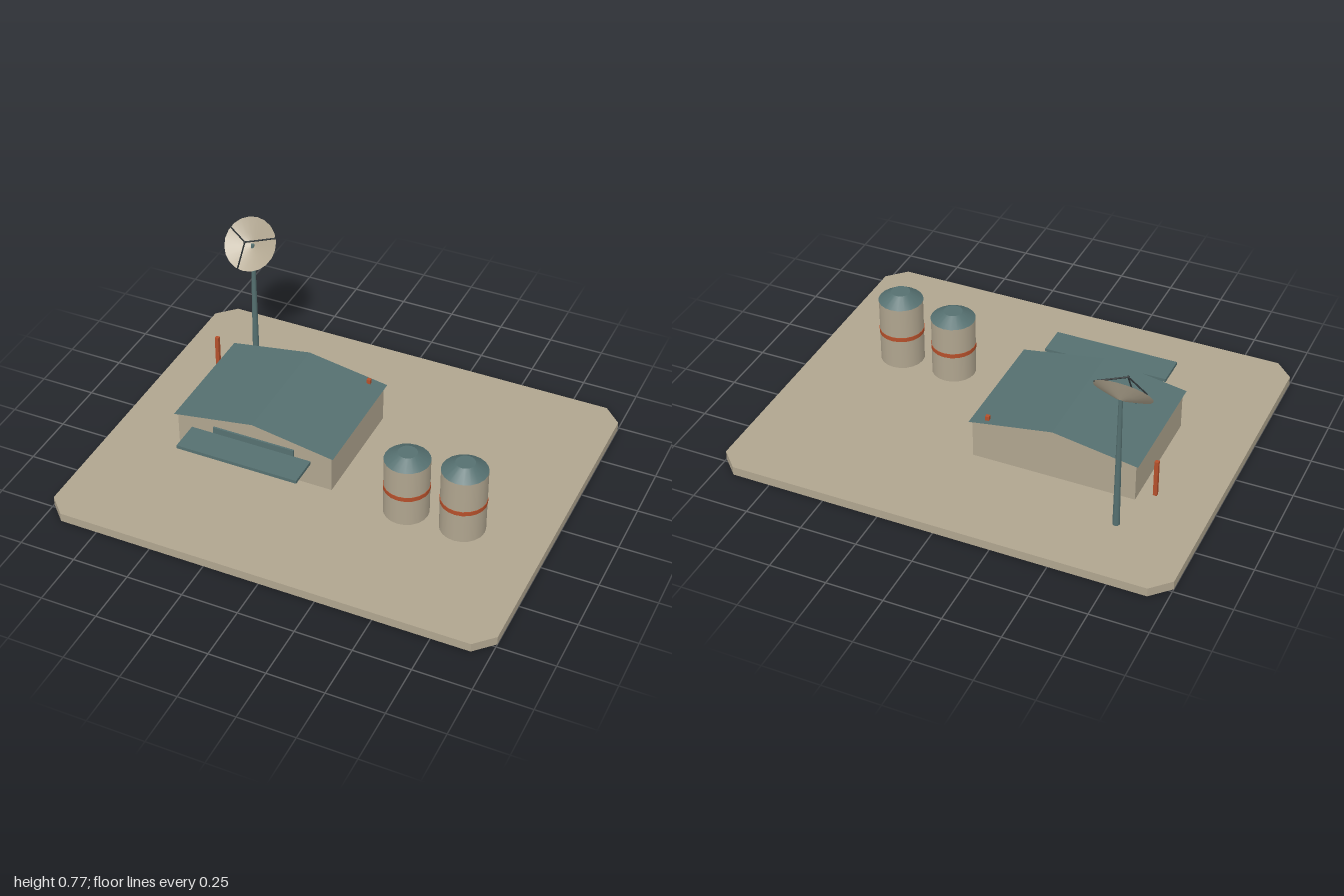
import * as THREE from 'three';

const paint = (name, color, side = THREE.FrontSide) => {
  const m = new THREE.MeshStandardMaterial({ color, side });
  m.name = name;
  return m;
};

export function createModel() {
  const sand = paint('sand', 0xb0a58f);
  const dishSand = paint('dish sand', 0xb2a791, THREE.DoubleSide);
  const teal = paint('teal', 0x557070);
  const orange = paint('rust orange', 0xb5502b);
  const dark = paint('dark metal', 0x2a3032);

  const model = new THREE.Group();
  model.name = 'outpost';

  const add = (name, geometry, material, x = 0, y = 0, z = 0, parent = model) => {
    const mesh = new THREE.Mesh(geometry, material);
    mesh.name = name;
    mesh.position.set(x, y, z);
    parent.add(mesh);
    return mesh;
  };
  // Box given by its min and max corners
  const box = (name, material, x0, x1, y0, y1, z0, z1) =>
    add(name, new THREE.BoxGeometry(x1 - x0, y1 - y0, z1 - z0), material,
      (x0 + x1) / 2, (y0 + y1) / 2, (z0 + z1) / 2);
  const polygon = (points) => new THREE.Shape(points.map(([x, y]) => new THREE.Vector2(x, y)));

  // Ground slab with cut corners
  const W = 1, D = 0.815, C = 0.08;
  const slab = new THREE.ExtrudeGeometry(polygon([
    [-W + C, -D], [W - C, -D], [W, -D + C], [W, D - C],
    [W - C, D], [-W + C, D], [-W, D - C], [-W, -D + C],
  ]), { depth: 0.04, bevelEnabled: false });
  slab.rotateX(-Math.PI / 2);
  add('ground slab', slab, sand);

  // Building with a low gabled roof: sand gables, teal slopes
  box('building walls', sand, -0.682, 0.044, 0.04, 0.219, -0.334, 0.206);
  const roof = new THREE.ExtrudeGeometry(
    polygon([[-0.375, 0], [0.375, 0], [0, 0.062]]),
    { depth: 0.567, bevelEnabled: false });
  add('gabled roof', roof, [sand, teal], -0.319, 0.218, -0.347);
  box('front door', teal, -0.51, -0.13, 0.06, 0.2, 0.206, 0.215);
  box('awning', teal, -0.583, -0.025, 0.202, 0.217, 0.265, 0.404);

  // Marker posts
  for (const x of [-0.762, -0.017]) {
    add('marker post', new THREE.BoxGeometry(0.017, 0.17, 0.017), orange, x, 0.165, -0.315);
  }

  // Storage tanks
  for (const [x, top, bandY, peak] of [[0.38, 0.315, 0.177, 0.35], [0.633, 0.344, 0.191, 0.384]]) {
    const tank = new THREE.Group();
    tank.name = 'storage tank';
    tank.position.set(x, 0, 0.19);
    model.add(tank);
    add('tank body', new THREE.CylinderGeometry(0.098, 0.098, top - 0.04, 20), sand, 0, (top + 0.04) / 2, 0, tank);
    add('tank lid', new THREE.CylinderGeometry(0.042, 0.099, peak - top, 20), teal, 0, (top + peak) / 2, 0, tank);
    add('tank band', new THREE.CylinderGeometry(0.1, 0.1, 0.02, 20), orange, 0, bandY, 0, tank);
  }

  // Antenna mast
  add('mast', new THREE.CylinderGeometry(0.009, 0.016, 0.62, 8), teal, -0.667, 0.35, -0.504);

  // Shallow dish; its local +y axis points forward and up
  const dish = new THREE.Group();
  dish.name = 'antenna dish';
  dish.position.set(-0.667, 0.677, -0.479);
  dish.rotation.x = 0.9;
  model.add(dish);
  const R = 0.1225;
  add('dish bowl', new THREE.LatheGeometry(
    [[0.001, -0.037], [0.06, -0.02], [R, 0]].map(([r, y]) => new THREE.Vector2(r, y)), 20),
  dishSand, 0, 0, 0, dish);

  // Three struts meeting at the feed point
  const feed = new THREE.Vector3(0, 0.062, 0);
  for (const degrees of [25, 155, 257]) {
    const a = THREE.MathUtils.degToRad(degrees);
    const rim = new THREE.Vector3(Math.cos(a) * R, 0, -Math.sin(a) * R);
    const strut = new THREE.TubeGeometry(new THREE.LineCurve3(rim, feed), 1, 0.0035, 6);
    add('feed strut', strut, dark, 0, 0, 0, dish);
  }
  add('feed', new THREE.SphereGeometry(0.006, 8, 6), dark, feed.x, feed.y, feed.z, dish);

  return model;
}
